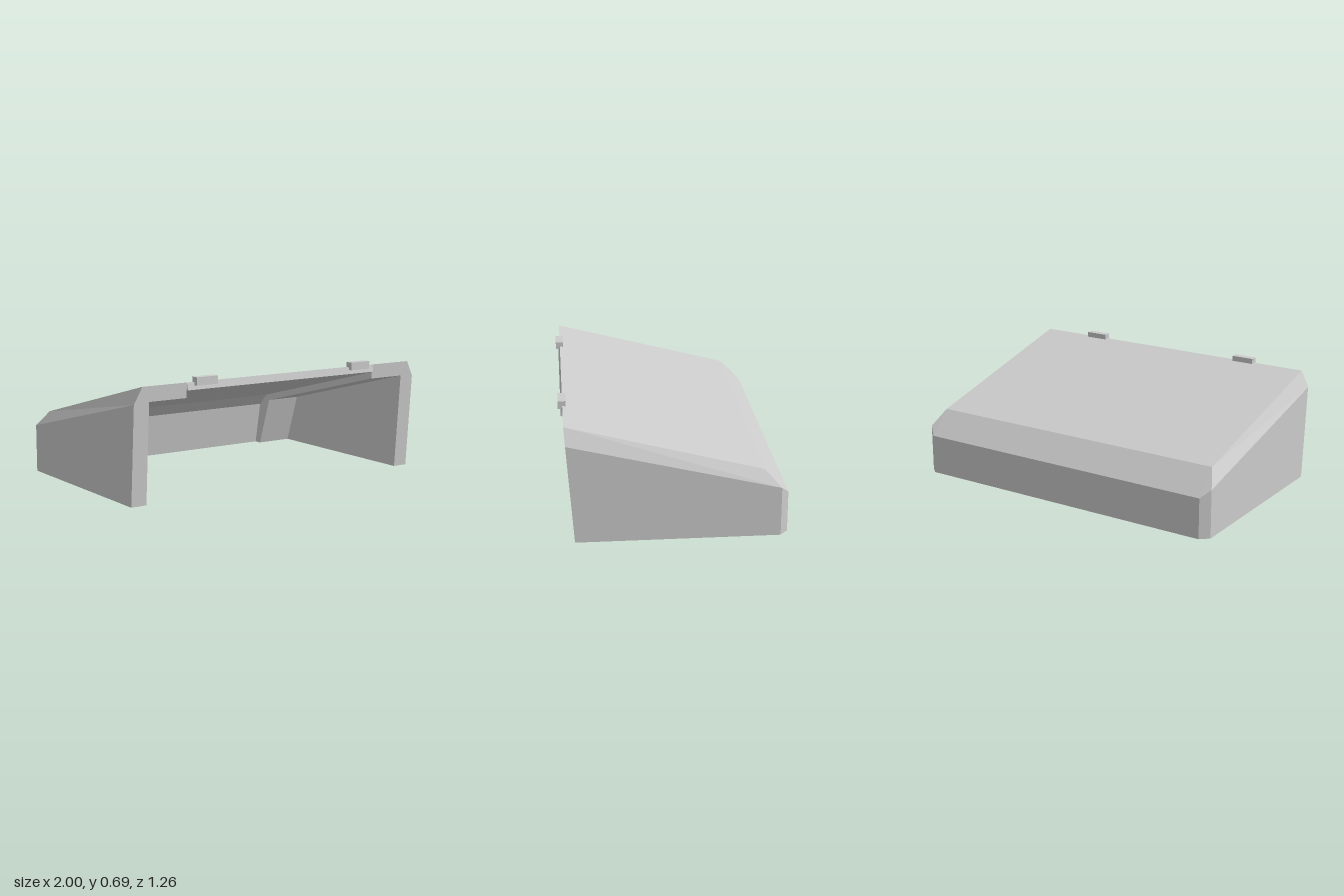
import * as THREE from 'three';

// Cross-sections as [z, y], counterclockwise seen from -x
const SIDE = [[0.56, 0], [0.6, 0.57], [-0.585, 0.285], [-0.585, 0.285], [-0.585, 0]];
const WALL = [[0.56, 0], [0.607, 0.665], [-0.495, 0.38], [-0.63, 0.24], [-0.63, 0]];
const TOP = [[0.607, 0.665], [-0.495, 0.38], [-0.63, 0.24], [-0.63, 0]];
const THICK = [...TOP, [-0.54, 0], [-0.4375, 0.31], [0.601, 0.578]];
const THIN = [...TOP, [-0.59, 0], [-0.54, 0.27], [-0.469, 0.342], [0.617, 0.622]];

// Solid through sections [x, profile], ordered by rising x, with end caps
function loft(sections) {
  const pos = [];
  const put = (x, [z, y]) => pos.push(x, y, z);
  for (let s = 0; s < sections.length - 1; s++) {
    const [xa, a] = sections[s];
    const [xb, b] = sections[s + 1];
    for (let i = 0; i < a.length; i++) {
      const j = (i + 1) % a.length;
      put(xa, a[i]); put(xb, b[i]); put(xb, b[j]);
      put(xa, a[i]); put(xb, b[j]); put(xa, a[j]);
    }
  }
  const cap = ([x, profile], flip) => {
    const points = profile.map(([z, y]) => new THREE.Vector2(z, y));
    for (const [i, j, k] of THREE.ShapeUtils.triangulateShape(points, [])) {
      for (const n of flip ? [i, k, j] : [i, j, k]) put(x, profile[n]);
    }
  };
  cap(sections[0], false);
  cap(sections[sections.length - 1], true);
  const geometry = new THREE.BufferGeometry();
  geometry.setAttribute('position', new THREE.Float32BufferAttribute(pos, 3));
  geometry.computeVertexNormals();
  return geometry;
}

export function createModel() {
  const model = new THREE.Group();
  const material = new THREE.MeshStandardMaterial({ color: 0xcccccc, flatShading: true });
  const add = (name, geometry) => {
    const mesh = new THREE.Mesh(geometry, material);
    mesh.name = name;
    model.add(mesh);
    return mesh;
  };

  // Thin middle of the roof and back wall
  add('middleCover', loft([[-0.667, THIN], [0.667, THIN]]));

  for (const [label, s] of [['left', 1], ['right', -1]]) {
    // Mirror by negating x and restoring the rising order
    const build = (sections) => {
      const placed = sections.map(([x, p]) => [s * x, p]);
      return loft(s > 0 ? placed : placed.reverse());
    };
    // Bevelled side wall
    add(label + 'SideWall', build([[0.905, WALL], [0.95, WALL], [1, SIDE]]));
    // Thicker roof and back wall beside the middle
    add(label + 'Cover', build([[0.667, THICK], [0.905, THICK]]));
    // Small clip on the front edge
    add(label + 'Clip', new THREE.BoxGeometry(0.14, 0.046, 0.045)).position.set(s * 0.55, 0.669, 0.61);
  }
  return model;
}
